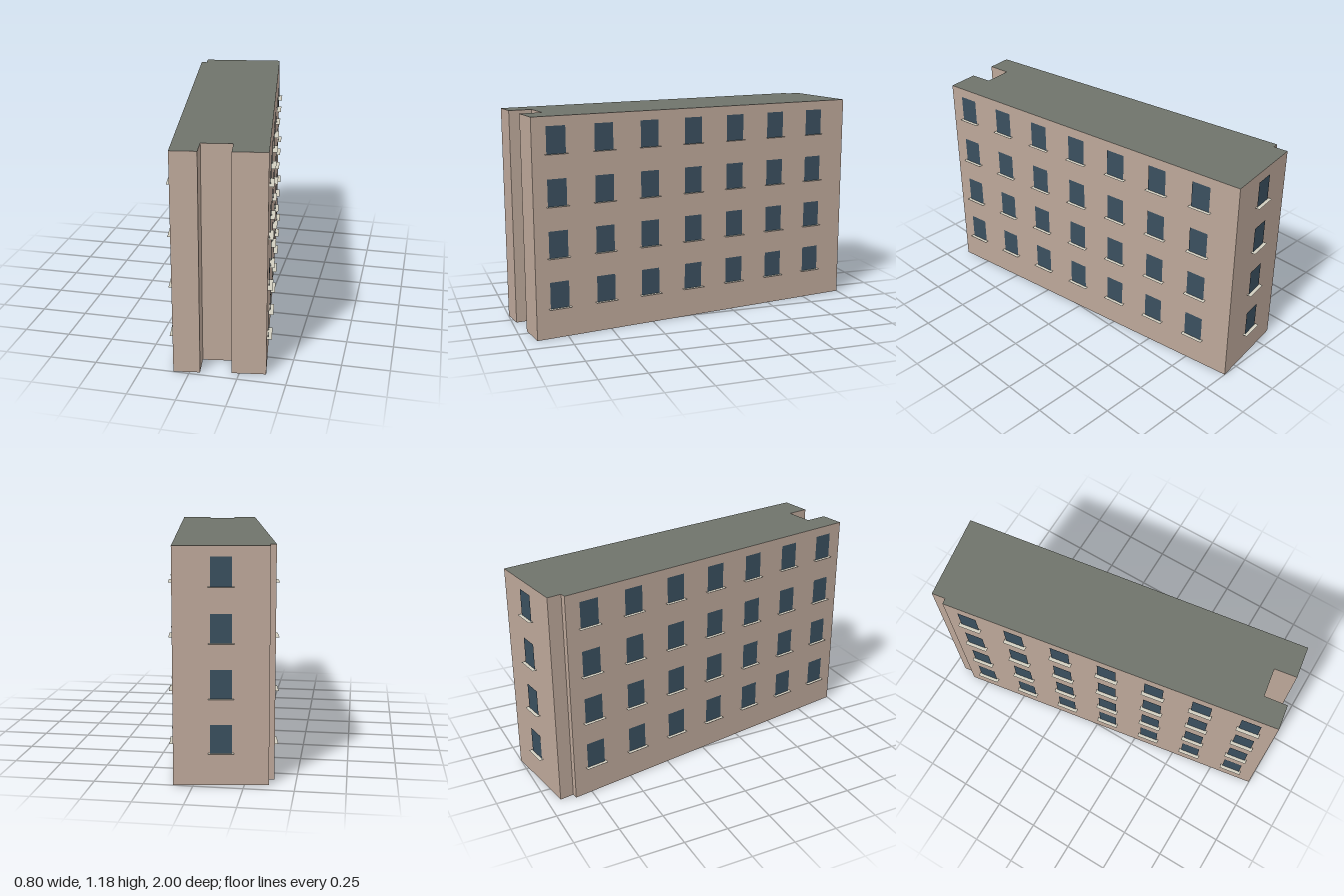
import * as THREE from 'three';

const HEIGHT = 1.185;
const FLOORS = [0.165, 0.44, 0.715, 0.99]; // window bottoms
const WIN_W = 0.106, WIN_H = 0.145;
const SILL_W = 0.127, SILL_D = 0.024;

// Footprint corners as [x, z], anticlockwise seen from above
const PLAN = [
  [-0.082, 0.998], [0.053, 0.977], [0.036, 0.851], [0.193, 0.826], [0.212, 0.948],
  [0.386, 0.922], [0.098, -1], [-0.37, -0.93], [-0.358, -0.853], [-0.39, -0.848],
];

const wallMat = new THREE.MeshStandardMaterial({ color: 0xbca799 });
const roofMat = new THREE.MeshStandardMaterial({ color: 0x6f736b });
const glassMat = new THREE.MeshStandardMaterial({ color: 0x3a4f5e });
const sillMat = new THREE.MeshStandardMaterial({ color: 0xd2cec0, side: THREE.DoubleSide });

const glassGeo = new THREE.PlaneGeometry(WIN_W, WIN_H).translate(0, WIN_H / 2, 0.005);
const sillGeo = new THREE.PlaneGeometry(SILL_W, SILL_D).rotateX(-Math.PI / 2).translate(0, 0, SILL_D / 2);

// Grid of windows along the wall p-q, spread between fractions t0 and t1
function windowGrid(name, p, q, count, t0, t1) {
  const grid = new THREE.Group();
  grid.name = name;
  const dx = q[0] - p[0], dz = q[1] - p[1];
  for (let i = 0; i < count; i++) {
    const t = count > 1 ? t0 + (t1 - t0) * i / (count - 1) : t0;
    for (const y of FLOORS) {
      const unit = new THREE.Group();
      unit.name = 'window';
      const glass = new THREE.Mesh(glassGeo, glassMat);
      glass.name = 'windowPane';
      const sill = new THREE.Mesh(sillGeo, sillMat);
      sill.name = 'windowSill';
      unit.add(glass, sill);
      unit.position.set(p[0] + dx * t, y, p[1] + dz * t);
      unit.rotation.y = Math.atan2(-dz, dx); // face outward
      grid.add(unit);
    }
  }
  return grid;
}

export function createModel() {
  const model = new THREE.Group();
  model.name = 'apartmentBlock';

  // Walls with flat roof and underside
  const shape = new THREE.Shape(PLAN.map(([x, z]) => new THREE.Vector2(x, -z)));
  const geo = new THREE.ExtrudeGeometry(shape, { depth: HEIGHT, bevelEnabled: false });
  geo.rotateX(-Math.PI / 2);
  const body = new THREE.Mesh(geo, [roofMat, wallMat]);
  body.name = 'wallsAndRoof';
  model.add(body);

  // Windows on the two long walls and the back wall
  model.add(windowGrid('leftWindows', PLAN[5], PLAN[6], 7, 0.067, 0.889));
  model.add(windowGrid('backWindows', PLAN[6], PLAN[7], 1, 0.5, 0.5));
  model.add(windowGrid('rightWindows', PLAN[9], PLAN[0], 7, 0.071, 0.927));
  return model;
}
